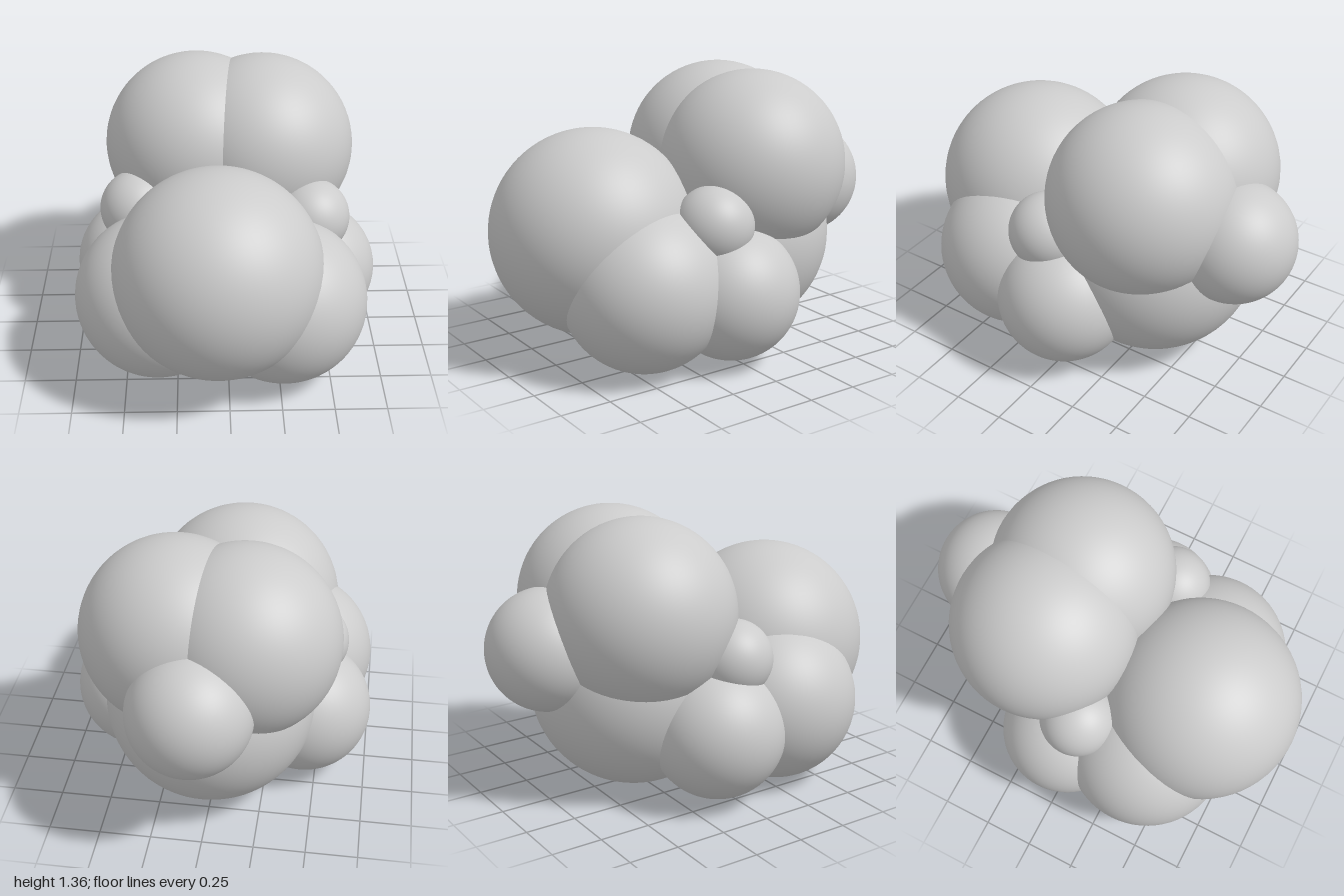
import * as THREE from 'three';

// Cluster of overlapping balls: name, radius, centre x, y, z
const BALLS = [
  ['frontBall', 0.5, -0.05, 0.624, 0.5],
  ['lowerBackBall', 0.515, 0.02, 0.52, -0.25],
  ['upperLeftBall', 0.46, 0.187, 0.907, -0.278],
  ['upperRightBall', 0.46, -0.147, 0.907, -0.31],
  ['rearBall', 0.297, 0.055, 0.75, -0.703],
  ['frontLeftBall', 0.403, 0.265, 0.408, 0.41],
  ['frontRightBall', 0.403, -0.338, 0.41, 0.352],
  ['sideLeftBall', 0.33, 0.421, 0.357, 0.02],
  ['sideRightBall', 0.33, -0.428, 0.357, -0.06],
  ['smallLeftBall', 0.19, 0.412, 0.7, 0.115],
  ['smallRightBall', 0.19, -0.437, 0.705, 0.02],
];

export function createModel() {
  const group = new THREE.Group();
  group.name = 'ballCluster';
  const material = new THREE.MeshStandardMaterial({ color: 0xcccccc });
  const sphere = new THREE.SphereGeometry(1, 64, 40);

  for (const [name, radius, x, y, z] of BALLS) {
    const ball = new THREE.Mesh(sphere, material);
    ball.name = name;
    ball.scale.setScalar(radius);
    ball.position.set(x, y, z);
    group.add(ball);
  }
  return group;
}
